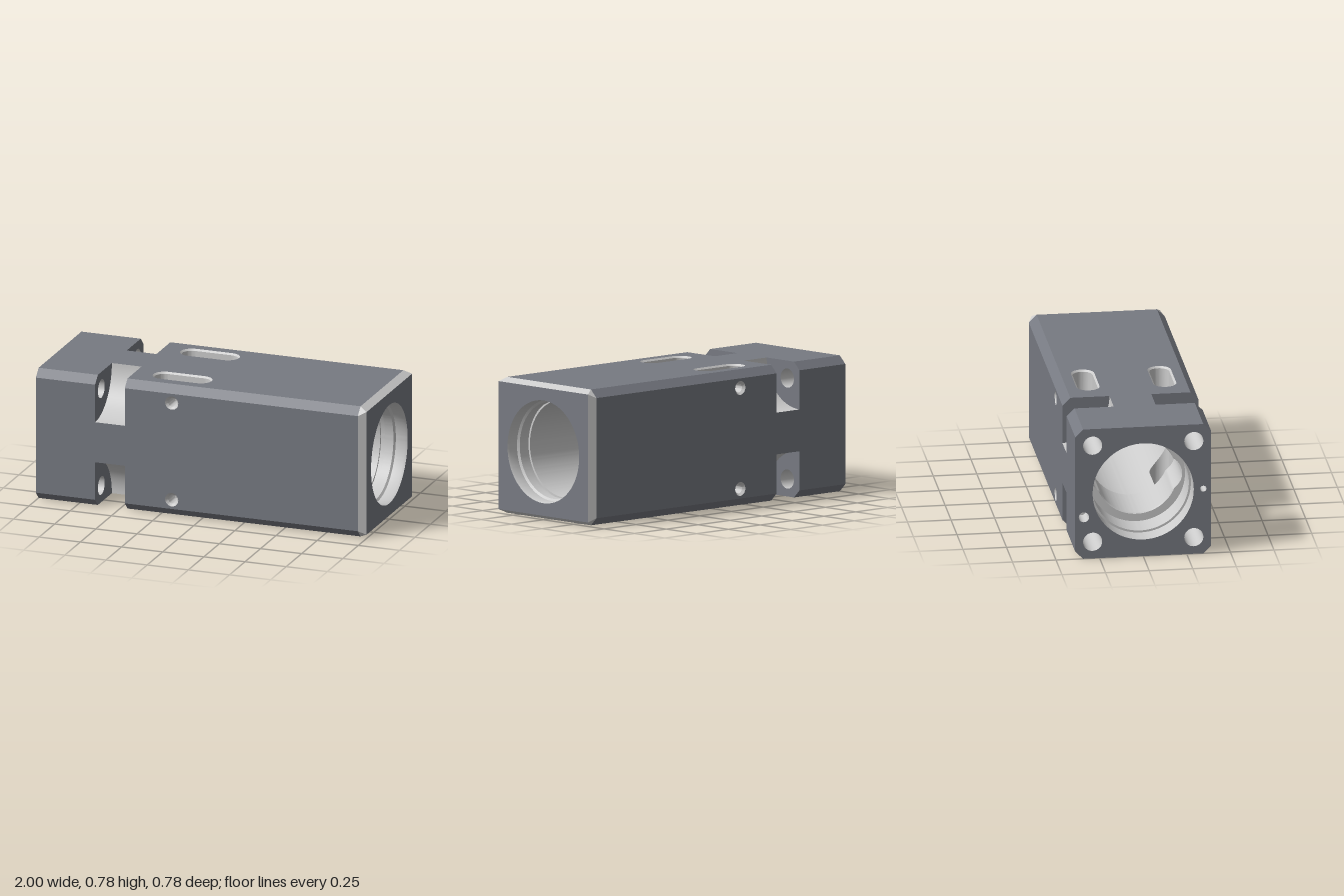
import * as THREE from 'three';
import { toCreasedNormals } from 'three/addons/utils/BufferGeometryUtils.js';

const H = 0.39, C = 0.045, R = 0.278;            // half width, edge chamfer, main bore radius
const X0 = -1, N0 = -0.64, N1 = -0.46, X1 = 0.955; // end, notch start, notch end, end chamfer
const SX = -0.1725, SZ = 0.22, SW = 0.057, SL = 0.1105; // slot centre, half width, half straight length
const PX = -0.175, PY = 0.29, PR = 0.027;        // cross pin holes
const BOLT = 0.29, BOLT_R = 0.055;

const dark = new THREE.MeshStandardMaterial({ color: 0x777a82, side: THREE.DoubleSide });
const light = new THREE.MeshStandardMaterial({ color: 0xcccccc, side: THREE.DoubleSide });

// 2D helpers, all returning lists of [u, v]
const arc = (cu, cv, r, a0, a1, n) => Array.from({ length: n + 1 }, (_, i) => {
  const a = a0 + (a1 - a0) * i / n;
  return [cu + r * Math.cos(a), cv + r * Math.sin(a)];
});
const circle = (cu, cv, r, n = 32) => arc(cu, cv, r, 0, Math.PI * 2, n).slice(0, -1);
const octagon = (h, c) => [[h, -h + c], [h, h - c], [h - c, h], [-h + c, h],
  [-h, h - c], [-h, -h + c], [-h + c, -h], [h - c, -h]];
const stadium = (cv, w) => [
  ...arc(SX + SL, cv, w, -Math.PI / 2, Math.PI / 2, 16),
  ...arc(SX - SL, cv, w, Math.PI / 2, Math.PI * 1.5, 16)];
const boreY = z => Math.sqrt(Math.max(0, R * R - z * z));

export function createModel() {
  const model = new THREE.Group();
  const body = new THREE.Group();
  body.name = 'block';
  body.position.y = H;
  model.add(body);

  const add = (name, geo, mat) => {
    const mesh = new THREE.Mesh(geo, mat);
    mesh.name = name;
    body.add(mesh);
  };
  // Surface through rows of [x, y, z] points
  const loft = (name, rows, mat, closed = true) => {
    const n = rows[0].length, index = [];
    for (let r = 0; r < rows.length - 1; r++) {
      for (let i = 0; i < (closed ? n : n - 1); i++) {
        const a = r * n + i, b = r * n + (i + 1) % n;
        index.push(a, b, b + n, a, b + n, a + n);
      }
    }
    const geo = new THREE.BufferGeometry();
    geo.setAttribute('position', new THREE.Float32BufferAttribute(rows.flat(2), 3));
    geo.setIndex(index);
    add(name, toCreasedNormals(geo, 0.5), mat);
  };
  // Flat panel with holes, placed by a mapping of (u, v)
  const panel = (name, pts, holes, map, mat = dark) => {
    const vec = list => list.map(([u, v]) => new THREE.Vector2(u, v));
    const shape = new THREE.Shape(vec(pts));
    shape.holes = holes.map(h => new THREE.Path(vec(h)));
    const geo = new THREE.ShapeGeometry(shape);
    const p = geo.attributes.position;
    for (let i = 0; i < p.count; i++) p.setXYZ(i, ...map(p.getX(i), p.getY(i)));
    geo.computeVertexNormals();
    add(name, geo, mat);
  };
  const atX = (pts, x) => pts.map(([z, y]) => [x, y, z]);
  const prism = (name, pts, x0, x1, mat, closed = true) =>
    loft(name, [atX(pts, x0), atX(pts, x1)], mat, closed);

  const signs = [[1, 1], [1, -1], [-1, 1], [-1, -1]];
  const oct = octagon(H, C);

  // Rear end: skin, end face and its holes
  prism('rearSkin', oct, X0, N0, dark);
  const bolts = signs.map(([sy, sz]) => circle(sz * BOLT, sy * BOLT, BOLT_R));
  const dowels = [circle(-0.34, -0.14, 0.03, 24), circle(0.345, 0, 0.018, 24)];
  panel('rearFace', oct, [circle(0, 0, 0.29, 128), ...bolts, ...dowels], (u, v) => [X0, v, u]);
  bolts.forEach(b => prism('boltHole', b, X0, N0, light));
  dowels.forEach(d => {
    prism('dowelHole', d, X0, X0 + 0.12, light);
    panel('dowelHoleFloor', d, [], (u, v) => [X0 + 0.12, v, u], light);
  });

  // Four corner notches with concave floors
  const notch = arc(H, H, 0.27, -Math.PI / 2, -Math.PI, 24);
  const wall = [...notch, [H - C, H], [H, H - C]];
  signs.forEach(([sy, sz]) => {
    const put = list => list.map(([u, v]) => [u * sz, v * sy]);
    prism('notchFloor', put(notch), N0, N1, light, false);
    panel('notchRearWall', put(wall), [circle(sz * BOLT, sy * BOLT, BOLT_R)], (u, v) => [N0, v, u]);
    panel('notchFrontWall', put(wall), [], (u, v) => [N1, v, u]);
  });
  for (const s of [1, -1]) {
    prism('notchBridge', [[s * H, -0.12], [s * H, 0.12]], N0, N1, dark, false);
    prism('notchBridge', [[-0.12, s * H], [0.12, s * H]], N0, N1, dark, false);
  }

  // Main body skin with slot and pin openings
  const e = H - C;
  const rect = [[N1, -e], [X1, -e], [X1, e], [N1, e]];
  for (const s of [1, -1]) {
    panel(s > 0 ? 'topSkin' : 'bottomSkin', rect,
      [stadium(SZ, SW + 0.01), stadium(-SZ, SW + 0.01)], (u, v) => [u, s * H, v]);
    panel(s > 0 ? 'frontSkin' : 'backSkin', rect,
      [circle(PX, PY, 0.04), circle(PX, -PY, 0.04)], (u, v) => [u, v, s * H]);
  }
  signs.forEach(([sy, sz]) =>
    prism('longChamfer', [[sz * e, sy * H], [sz * H, sy * e]], N1, X1, dark, false));
  const endSquare = octagon(H - C / 2, 0);
  loft('endChamfer', [atX(oct, X1), atX(endSquare, 1)], light);
  panel('endFace', [0, 2, 4, 6].map(i => endSquare[i + 1]), [circle(0, 0, 0.295, 128)], (u, v) => [1, v, u]);

  // Slots and pin holes
  signs.forEach(([sy, sz]) => {
    loft('slotRim', [[SW + 0.01, H], [SW, H - 0.01]].map(([w, y]) =>
      stadium(sz * SZ, w).map(([x, z]) => [x, sy * y, z])), light);
    for (const end of [1, -1]) {
      const pts = arc(0, SZ, SW, -Math.PI / 2, Math.PI / 2, 24)
        .map(([u, v]) => [SX + end * (SL + u), v * sz]);
      loft('slotEnd', [
        pts.map(([x, z]) => [x, sy * (H - 0.01), z]),
        pts.map(([x, z]) => [x, sy * boreY(z), z])], light, false);
    }
    for (const z of [SZ - SW, SZ + SW]) {
      const a = SX - SL, b = SX + SL, y = boreY(z);
      panel('slotSide', [[a, y], [b, y], [b, H - 0.01], [a, H - 0.01]],
        [circle(PX, PY, PR)], (u, v) => [u, sy * v, sz * z], light);
    }
    const ring = (r, z) => circle(PX, PY, r).map(([x, y]) => [x, sy * y, sz * z]);
    loft('pinHole', [ring(0.04, H), ring(PR, H - 0.015), ring(PR, SZ + SW)], light);
  });
  // Pin passage between the slots, trimmed to stay outside the bore
  for (const s of [1, -1]) {
    const rows = Array.from({ length: 13 }, (_, i) => {
      const z = (SZ - SW) * (i / 6 - 1);
      return circle(PX, PY, PR).map(([x, y]) => [x, s * Math.max(y, boreY(z) + 0.001), z]);
    });
    loft('pinPassage', rows, light);
  }

  // Bore angles, with extra samples at the slot edges
  const angles = Array.from({ length: 192 }, (_, i) => i / 192 * Math.PI * 2);
  for (const z of [SZ - SW, SZ + SW]) {
    const a = Math.acos(z / R);
    for (const b of [a, Math.PI - a, Math.PI + a, 2 * Math.PI - a]) angles.push(b - 1e-4, b + 1e-4);
  }
  angles.sort((a, b) => a - b);
  const ringAt = (x, r) => angles.map(a => {
    const q = typeof r === 'function' ? r(a) : r;
    return [typeof x === 'function' ? x(a) : x, q * Math.sin(a), q * Math.cos(a)];
  });
  // Narrow throat with a rounded lobe on each side
  const throat = extra => a => {
    const d = 0.104 ** 2 - (0.158 * Math.sin(a)) ** 2;
    const lobe = d > 0 ? 0.158 * Math.abs(Math.cos(a)) + Math.sqrt(d) : 0;
    return Math.max(0.228 + extra, lobe);
  };
  // Half length of the slot opening at a bore angle
  const gap = a => {
    const dz = Math.abs(R * Math.cos(a)) - SZ;
    return Math.abs(dz) < SW ? SL + Math.sqrt(SW * SW - dz * dz) : 0;
  };
  loft('rearBore', [[-1, 0.29], [-0.88, 0.29], [-0.88, R], [-0.72, R], [-0.72, throat(0.006)],
    [-0.714, throat(0)], [-0.406, throat(0)], [-0.4, throat(0.006)], [-0.4, R]]
    .map(([x, r]) => ringAt(x, r)), light);
  loft('mainBore', [ringAt(-0.4, R), ringAt(a => SX - gap(a), R)], light);
  loft('mainBore', [ringAt(a => SX + gap(a), R), ringAt(0.84, R)], light);
  loft('boreMouth', [[0.84, R], [0.84, 0.29], [0.87, 0.29], [0.87, R], [0.92, R],
    [0.93, 0.29], [0.985, 0.29], [1, 0.295]].map(([x, r]) => ringAt(x, r)), light);

  return model;
}
